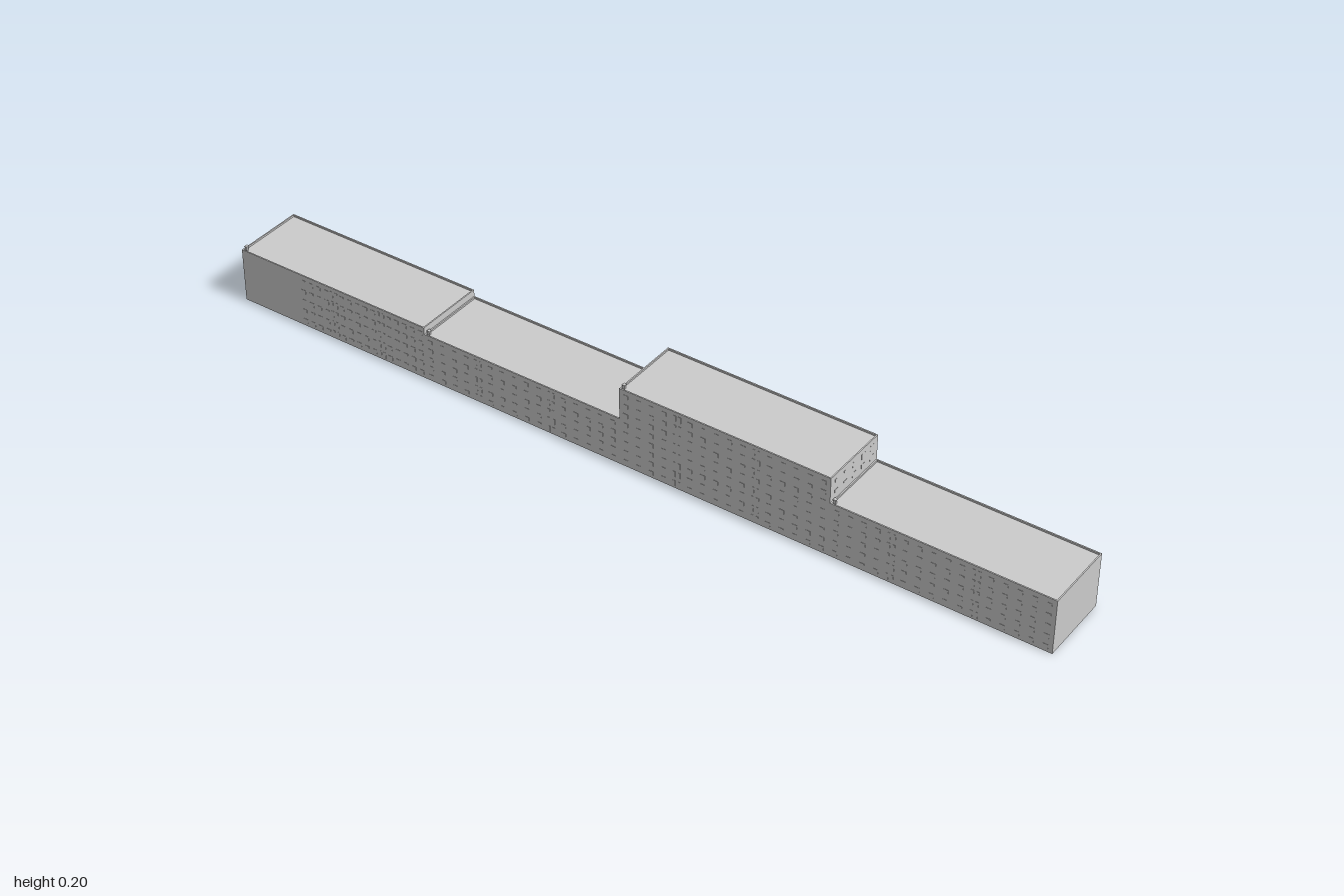
import * as THREE from 'three';
import { mergeGeometries } from 'three/addons/utils/BufferGeometryUtils.js';

const material = new THREE.MeshStandardMaterial({ color: 0xcccccc, flatShading: true });
const HALF_DEPTH = 0.085;
const RIM = 0.003;      // parapet thickness
const RECESS = 0.004;   // roof lies this far below the parapet
const PROUD = 0.0006;   // window relief

function box(w, h, d, x, y, z) {
  return new THREE.BoxGeometry(w, h, d).translate(x, y, z);
}

function part(name, geometries) {
  const mesh = new THREE.Mesh(mergeGeometries(geometries), material);
  mesh.name = name;
  return mesh;
}

// One section of the terrace: body with a shallow roof tray
function makeShell(x0, x1, height) {
  const w = x1 - x0, cx = (x0 + x1) / 2;
  const roofY = height - RECESS, rimY = height - RECESS / 2;
  const rims = [];
  for (const s of [-1, 1]) {
    rims.push(box(w, RECESS, RIM, cx, rimY, s * (HALF_DEPTH - RIM / 2)));
    rims.push(box(RIM, RECESS, 2 * (HALF_DEPTH - RIM), cx + s * (w - RIM) / 2, rimY, 0));
  }
  return [
    part('body', [box(w, roofY, 2 * HALF_DEPTH, cx, roofY / 2, 0)]),
    part('parapet', rims),
  ];
}

// Rows of windows on a long wall, with paired stairwell strips
function wallWindows(x0, x1, height, floors, side) {
  const list = [], columns = 16;
  const pitch = (x1 - x0) / columns, rise = height / floors;
  for (let c = 0; c < columns; c++) {
    const stair = c % 6 === 4;
    const x = x0 + (c + 0.5) * pitch;
    for (let f = 0; f < floors; f++) {
      const y = (f + 0.5) * rise;
      const z = side * HALF_DEPTH;
      if (stair) {
        for (const s of [-1, 1]) list.push(box(0.006, rise * 0.6, PROUD * 2, x + s * 0.006, y, z));
      } else {
        list.push(box(0.011, rise * 0.4, PROUD * 2, x, y, z));
      }
    }
  }
  return list;
}

// Windows on an exposed end wall, from one height up to another
function endWindows(x, y0, y1, floors) {
  const list = [], rise = (y1 - y0) / floors;
  for (let c = 0; c < 5; c++) {
    for (let f = 0; f < floors; f++) {
      list.push(box(PROUD * 2, rise * 0.5, 0.012, x, y0 + (f + 0.5) * rise, (c - 2) * 0.032));
    }
  }
  return list;
}

// Small capped flue at the front corner of each roof
function makeFlue(x, height) {
  const z = 0.0755;
  return part('roofFlue', [
    box(0.005, 0.009, 0.005, x, height + 0.0005, z),
    box(0.007, 0.002, 0.008, x, height + 0.006, z),
  ]);
}

export function createModel() {
  const model = new THREE.Group();
  model.name = 'terraceBuilding';
  const sections = [
    { name: 'endSectionRight', x0: -1, x1: -0.5, height: 0.13, floors: 5, frontStart: -0.84 },
    { name: 'lowSection', x0: -0.5, x1: 0, height: 0.114, floors: 5 },
    { name: 'tallSection', x0: 0, x1: 0.5, height: 0.19, floors: 8 },
    { name: 'endSectionLeft', x0: 0.5, x1: 1, height: 0.13, floors: 5 },
  ];
  for (const s of sections) {
    const group = new THREE.Group();
    group.name = s.name;
    group.add(...makeShell(s.x0, s.x1, s.height));
    const top = s.height - RECESS;
    group.add(part('frontWindows', wallWindows(s.frontStart ?? s.x0, s.x1, top, s.floors, 1)));
    group.add(part('backWindows', wallWindows(s.x0, s.x1, top, s.floors, -1)));
    group.add(makeFlue(s.x0 + 0.006, s.height));
    model.add(group);
  }
  // Gable ends and the upper storeys standing above the neighbours
  model.add(part('gableWindows', [
    ...endWindows(-1 + PROUD, 0, 0.126, 5),
    ...endWindows(1 - PROUD, 0, 0.126, 5),
    ...endWindows(0.5, 0.134, 0.184, 2),
    ...endWindows(0, 0.118, 0.184, 3),
  ].map((g) => g.translate(0, 0, 0))));
  return model;
}
